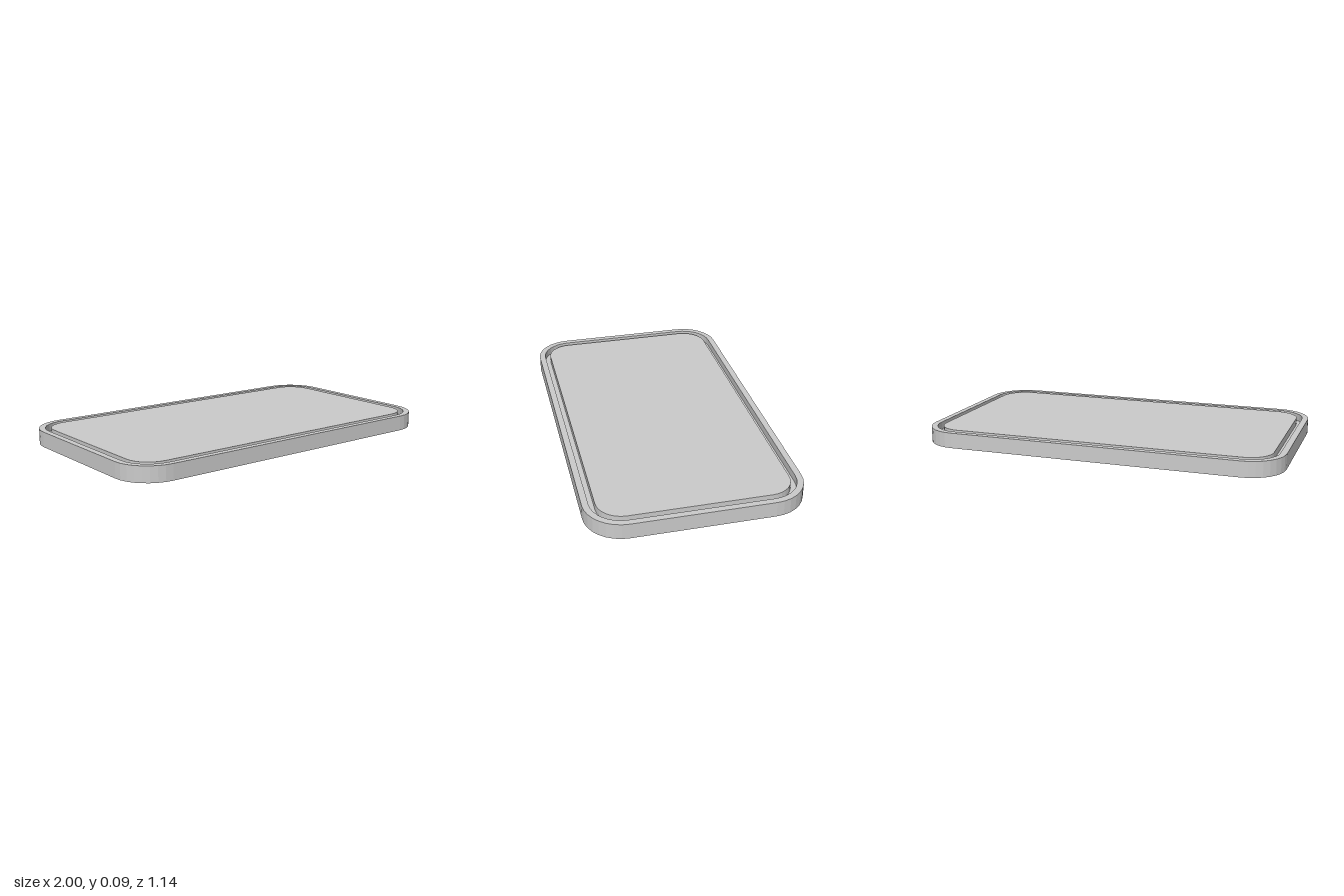
import * as THREE from 'three';

const HALF_X = 1, HALF_Z = 0.57, RADIUS = 0.2;
const HEIGHT = 0.085, GROOVE_FLOOR = 0.045;
const GROOVE_OUTER = 0.034, GROOVE_INNER = 0.066;

// Rounded rectangle, inset evenly from the outer edge
function outline(inset, target = new THREE.Shape()) {
  const cx = HALF_X - RADIUS, cy = HALF_Z - RADIUS, r = RADIUS - inset;
  [[1, 1], [-1, 1], [-1, -1], [1, -1]].forEach(([sx, sy], i) => {
    target.absarc(sx * cx, sy * cy, r, i * Math.PI / 2, (i + 1) * Math.PI / 2, false);
  });
  target.closePath();
  return target;
}

// Upright slab or ring standing on y = 0
function slab(name, inset, holeInset, height, material) {
  const shape = outline(inset);
  if (holeInset) shape.holes.push(outline(holeInset, new THREE.Path()));
  const geometry = new THREE.ExtrudeGeometry(shape, { depth: height, bevelEnabled: false, curveSegments: 4 });
  geometry.rotateX(-Math.PI / 2);
  const mesh = new THREE.Mesh(geometry, material);
  mesh.name = name;
  return mesh;
}

export function createModel() {
  const material = new THREE.MeshStandardMaterial({ color: 0xcccccc, flatShading: true });
  const board = new THREE.Group();
  board.name = 'groovedBoard';
  board.add(
    slab('rim', 0, GROOVE_OUTER, HEIGHT, material),
    slab('grooveFloor', GROOVE_OUTER, GROOVE_INNER, GROOVE_FLOOR, material),
    slab('centrePanel', GROOVE_INNER, 0, HEIGHT, material),
  );
  return board;
}
